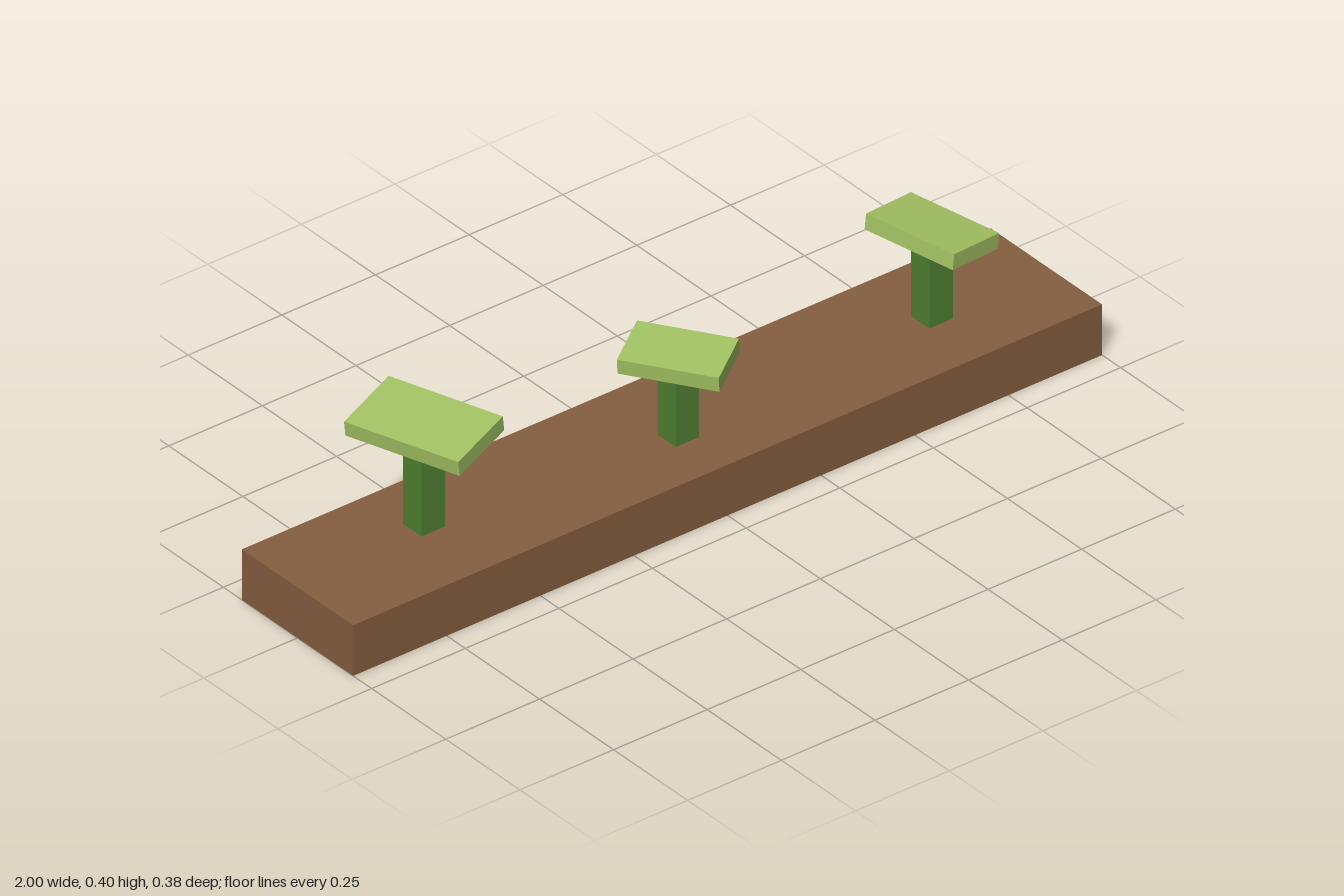
import * as THREE from 'three';

// Box without its underside, shown from both sides
function openBox(w, h, d) {
  const geo = new THREE.BoxGeometry(w, h, d);
  const idx = Array.from(geo.getIndex().array);
  idx.splice(18, 6); // drop the bottom face
  geo.clearGroups();
  geo.setIndex(idx);
  return geo;
}

function material(name, color) {
  const m = new THREE.MeshStandardMaterial({ color, side: THREE.DoubleSide });
  m.name = name;
  return m;
}

export function createModel() {
  const soil = material('soil brown', 0x865e40);
  const stemGreen = material('stem green', 0x4f8132);
  const leafGreen = material('leaf green', 0xa2c263);

  const model = new THREE.Group();
  model.name = 'seedlingRow';

  const add = (parent, name, geo, mat, x, y, z) => {
    const mesh = new THREE.Mesh(geo, mat);
    mesh.name = name;
    mesh.position.set(x, y, z);
    parent.add(mesh);
    return mesh;
  };

  // Soil bed
  const bedTop = 0.126;
  add(model, 'soilBed', openBox(2, bedTop, 0.375), soil, 0, bedTop / 2, 0);

  // Seedlings: a square stem under a turned and tilted leaf
  const thick = 0.0375;
  const seedlings = [
    { x: -0.643, z: -0.024, y: 0.373, length: 0.286, turn: 0.32, tilt: 0.132 },
    { x: -0.011, z: 0.035, y: 0.324, length: 0.225, turn: 0.58, tilt: 0.12 },
    { x: 0.69, z: 0.005, y: 0.34, length: 0.243, turn: 0.193, tilt: -0.12 },
  ];
  for (const s of seedlings) {
    const plant = new THREE.Group();
    plant.name = 'seedling';
    plant.position.set(s.x, 0, s.z);
    const height = s.y - thick / 2 - bedTop;
    add(plant, 'stem', openBox(0.0625, height, 0.0625), stemGreen, 0, bedTop + height / 2, 0);
    const leaf = add(plant, 'leaf', openBox(s.length * 0.6, thick, s.length), leafGreen, 0, s.y, 0);
    leaf.rotation.set(0, s.turn, s.tilt);
    model.add(plant);
  }
  return model;
}
